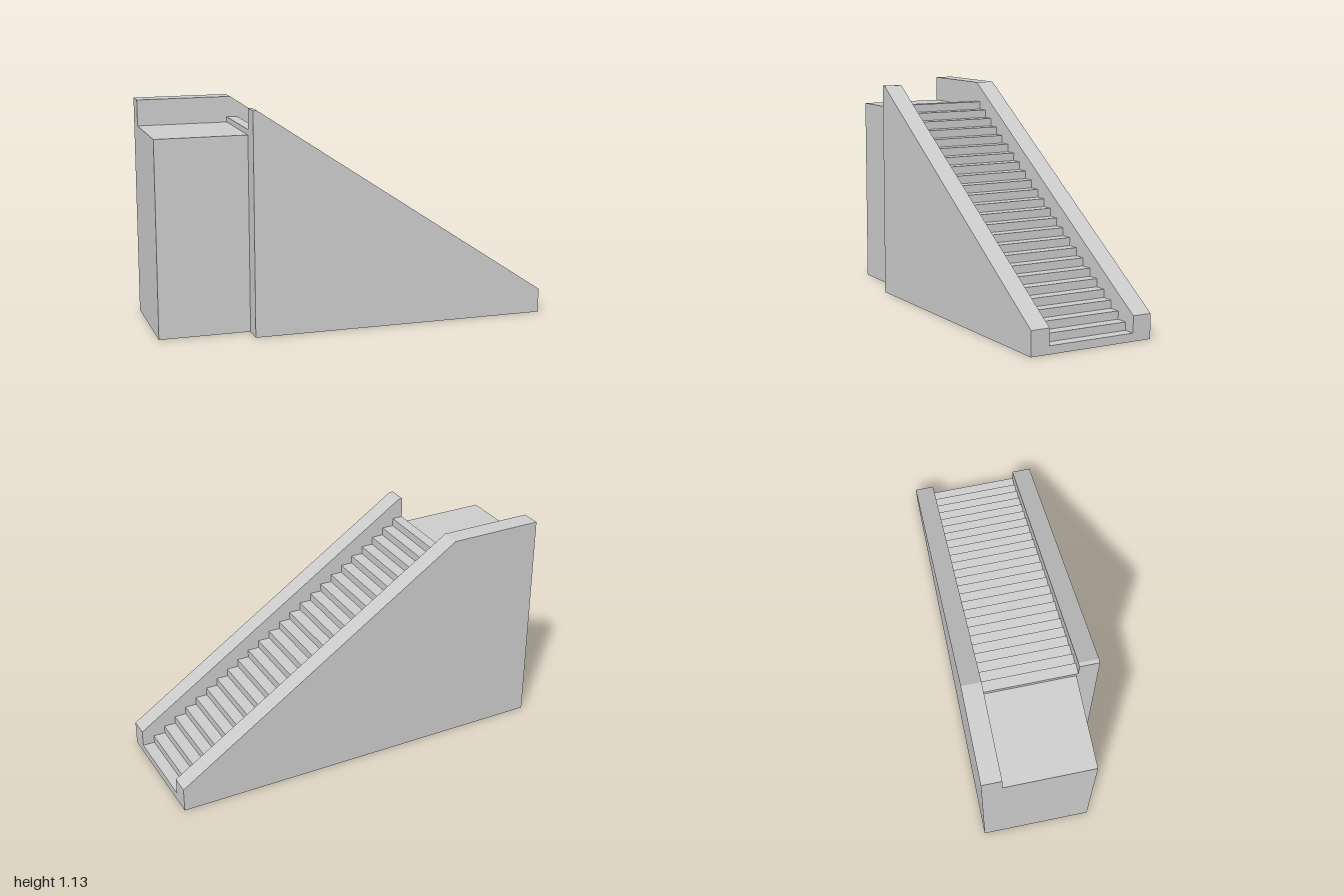
import * as THREE from 'three';

const STEPS = 25, RISE = 0.0411, RUN = 0.0617;
const INNER = 0.233, OUTER = 0.333, LANDING_X = -0.535;

// Extrudes a side profile (x, y) between two z positions
function slab(name, points, z0, z1) {
  const shape = new THREE.Shape(points.map(([x, y]) => new THREE.Vector2(x, y)));
  const geometry = new THREE.ExtrudeGeometry(shape, { depth: z1 - z0, bevelEnabled: false });
  geometry.translate(0, 0, z0);
  const mesh = new THREE.Mesh(geometry, new THREE.MeshStandardMaterial({ color: 0xcccccc }));
  mesh.name = name;
  return mesh;
}

// Solid side wall: flat along the landing, then sloping down beside the steps
function wall(name, backX, z0, z1) {
  return slab(name, [[backX, 0], [1, 0], [1, 0.125], [-0.515, 1.133], [backX, 1.133]], z0, z1);
}

export function createModel() {
  const model = new THREE.Group();
  model.name = 'staircase';

  // The far wall runs the full length; the near wall stops at the landing
  model.add(wall('rightWall', -1, -OUTER, -INNER));
  model.add(wall('leftWall', LANDING_X, INNER, OUTER));

  // Solid flight of steps, climbing towards -x
  const profile = [[LANDING_X, 0], [1, 0]];
  for (let i = 0; i < STEPS; i++) {
    const x = 1 - i * RUN;
    const back = i === STEPS - 1 ? LANDING_X : x - RUN;
    profile.push([x, (i + 1) * RISE], [back, (i + 1) * RISE]);
  }
  model.add(slab('steps', profile, -INNER, INNER));

  // Landing block behind the top step
  model.add(slab('landing', [[-1, 0], [LANDING_X, 0], [LANDING_X, 1], [-1, 1]], -INNER, 0.225));

  return model;
}
